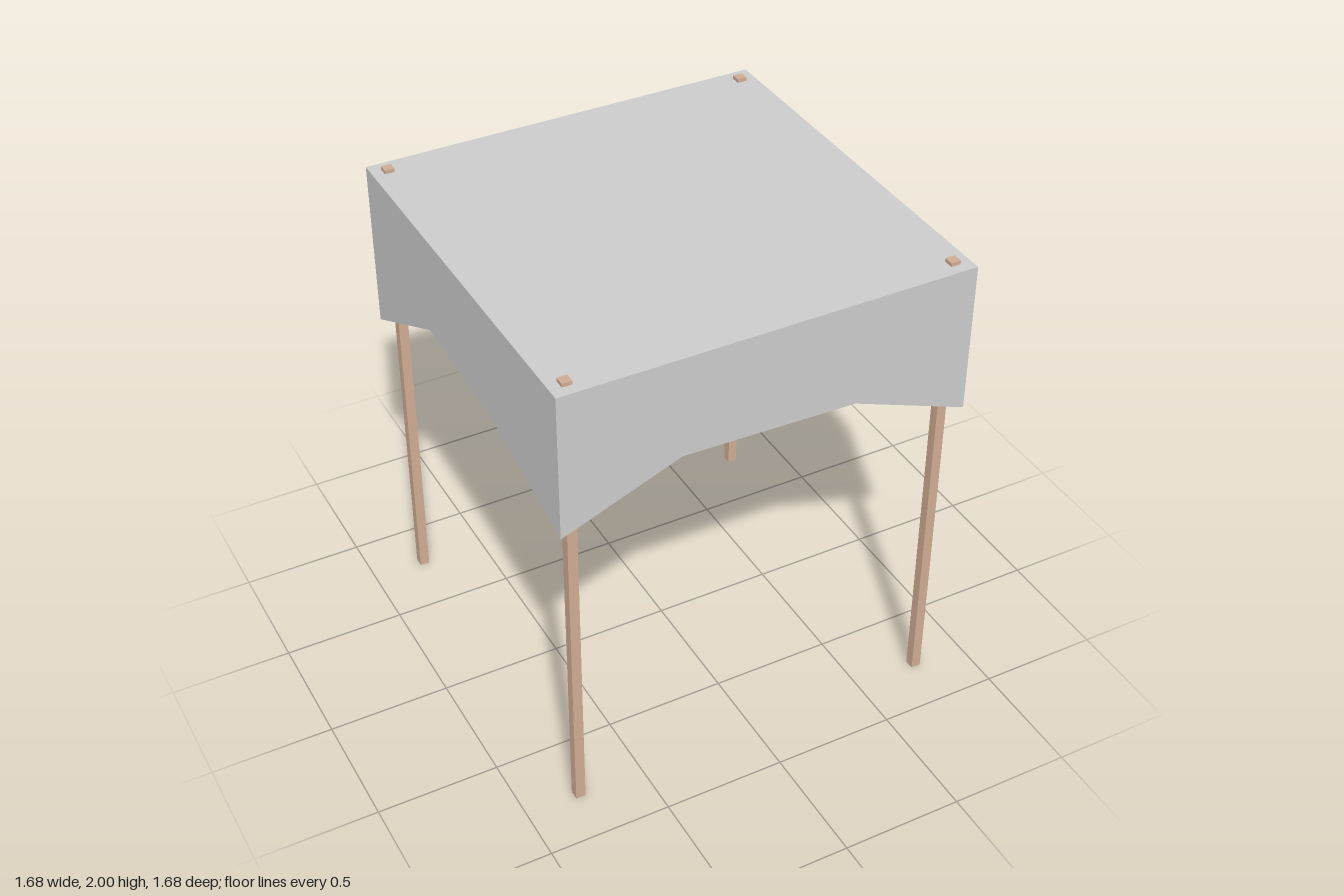
import * as THREE from 'three';

const HALF = 0.84;     // half width of the cloth
const ROOF = 1.985;    // height of the cloth roof
const POST = 0.775;    // post offset from the centre
const T = 0.04;        // timber thickness

const cloth = new THREE.MeshStandardMaterial({ color: 0xcccccc, side: THREE.DoubleSide, flatShading: true });
const wood = new THREE.MeshStandardMaterial({ color: 0xcfac94, flatShading: true });

function beam(name, length, width, x, z, angle) {
  const mesh = new THREE.Mesh(new THREE.BoxGeometry(length, T, width), wood);
  mesh.name = name;
  mesh.position.set(x, ROOF - 0.005 - T / 2, z);
  mesh.rotation.y = angle;
  return mesh;
}

// Hanging cloth wall: lower edge given from its own left to right, seen from outside
function valance(name, edge, angle) {
  const shape = new THREE.Shape();
  shape.moveTo(-HALF, ROOF);
  edge.forEach(([x, y]) => shape.lineTo(x, y));
  shape.lineTo(HALF, ROOF);
  const geometry = new THREE.ShapeGeometry(shape);
  geometry.translate(0, 0, HALF);
  geometry.rotateY(angle);
  const mesh = new THREE.Mesh(geometry, cloth);
  mesh.name = name;
  return mesh;
}

export function createModel() {
  const group = new THREE.Group();
  group.name = 'canopy';

  // Cloth roof
  const roof = new THREE.Mesh(new THREE.PlaneGeometry(2 * HALF, 2 * HALF), cloth);
  roof.name = 'roofCloth';
  roof.rotation.x = -Math.PI / 2;
  roof.position.y = ROOF;
  group.add(roof);

  // Four uneven cloth walls
  group.add(
    valance('frontValance', [[-HALF, 1.375], [-0.36, 1.565], [0.35, 1.545], [HALF, 1.355]], 0),
    valance('leftValance', [[-HALF, 1.355], [-0.28, 1.595], [0.28, 1.545], [HALF, 1.36]], Math.PI / 2),
    valance('backValance', [[-HALF, 1.36], [-0.28, 1.545], [0.34, 1.48], [HALF, 1.275]], Math.PI),
    valance('rightValance', [[-HALF, 1.275], [-0.28, 1.567], [0.28, 1.52], [HALF, 1.375]], -Math.PI / 2)
  );

  // Corner posts, poking through the roof
  for (const sx of [-1, 1]) {
    for (const sz of [-1, 1]) {
      const post = new THREE.Mesh(new THREE.BoxGeometry(T, 2, T), wood);
      post.name = 'cornerPost';
      post.position.set(sx * POST, 1, sz * POST);
      group.add(post);
    }
  }

  // Roof frame with one diagonal brace
  const span = 2 * POST - T;
  for (const s of [-1, 1]) {
    group.add(beam('crossBeam', span, T, 0, s * POST, 0));
    group.add(beam('sideBeam', span, T, s * POST, 0, Math.PI / 2));
  }
  group.add(beam('diagonalBrace', 2 * POST * Math.SQRT2 - T, 0.05, 0, 0, Math.PI / 4));

  return group;
}
